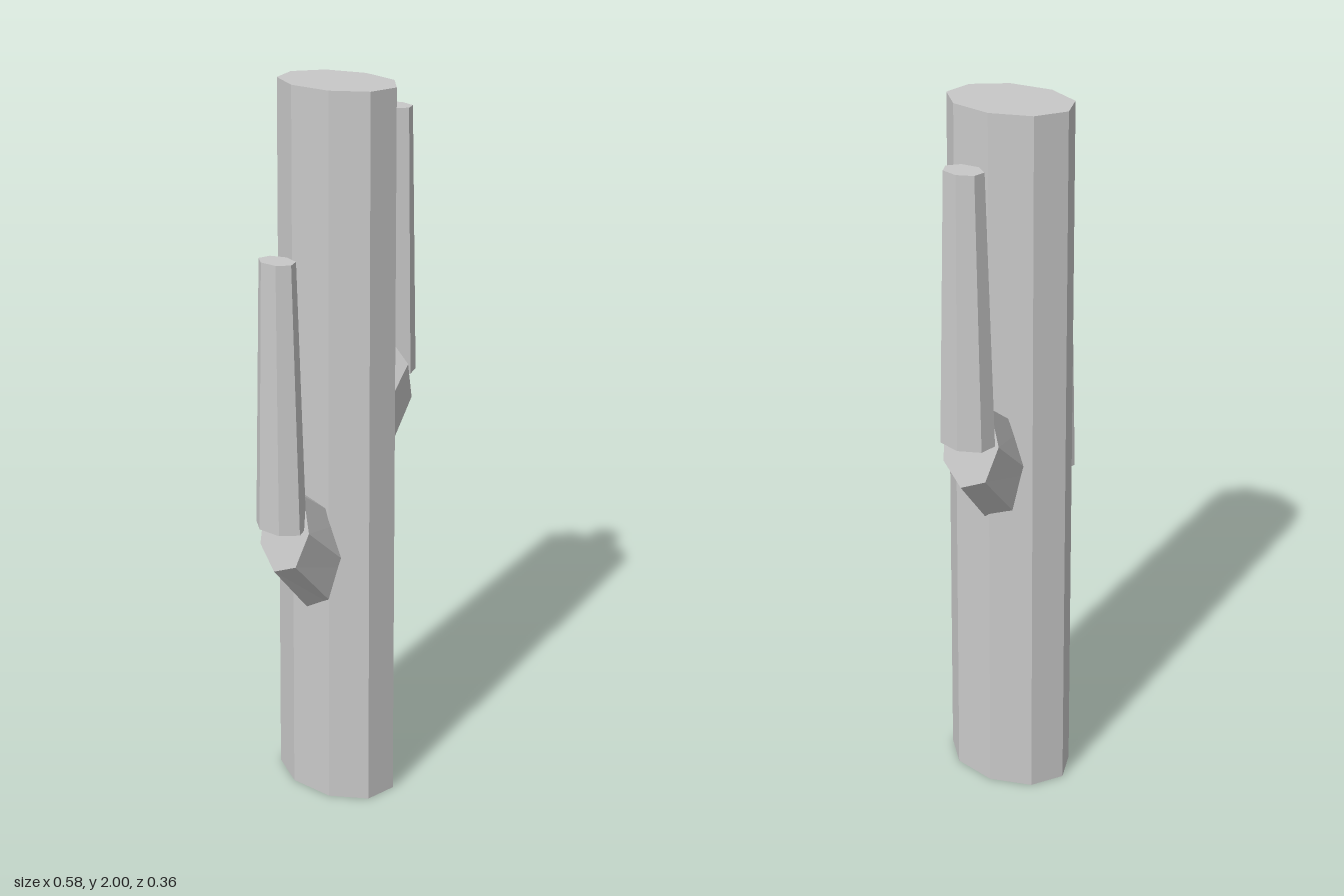
import * as THREE from 'three';

const grey = new THREE.MeshStandardMaterial({ color: 0xc8c8c8 });
grey.name = 'stone grey';
grey.flatShading = true;

// Tapered upright column, oval in plan, with one corner pointing to +x
function column(name, sides, rTop, rBottom, zScale, x, y0, y1) {
  const geo = new THREE.CylinderGeometry(rTop, rBottom, y1 - y0, sides, 1, false, Math.PI / 2);
  geo.scale(1, 1, zScale);
  geo.translate(x, (y0 + y1) / 2, 0);
  const mesh = new THREE.Mesh(geo, grey);
  mesh.name = name;
  return mesh;
}

// Slanted seven-sided branch between two tilted oval sections
function branchGeometry() {
  const n = 7;
  const sections = [
    { x: 0.05, y: 1.002, dx: 0.036, dy: -0.153, rz: 0.093 },
    { x: 0.223, y: 1.168, dx: 0.03, dy: -0.12, rz: 0.081 },
  ];
  const pos = [];
  const index = [];
  for (const s of sections) {
    for (let i = 0; i < n; i++) {
      const a = THREE.MathUtils.degToRad(9) + (i * 2 * Math.PI) / n;
      pos.push(s.x + s.dx * Math.cos(a), s.y + s.dy * Math.cos(a), s.rz * Math.sin(a));
    }
  }
  for (let i = 0; i < n; i++) {
    const j = (i + 1) % n;
    index.push(i, n + j, j, i, n + i, n + j);
  }
  // End caps
  for (let i = 1; i < n - 1; i++) {
    index.push(0, i, i + 1, n, n + i + 1, n + i);
  }
  const geo = new THREE.BufferGeometry();
  geo.setAttribute('position', new THREE.Float32BufferAttribute(pos, 3));
  geo.setIndex(index);
  const flat = geo.toNonIndexed();
  flat.computeVertexNormals();
  return flat;
}

export function createModel() {
  const model = new THREE.Group();
  model.name = 'cactus';

  model.add(column('trunk', 9, 0.117, 0.13, 1.425, -0.002, 0, 2));

  // Two arms: each a slanted branch carrying an upright
  const arms = [
    { side: 'left', x: 0.238, y: 1.18, turn: 0, shiftX: 0, shiftY: 0 },
    { side: 'right', x: -0.244, y: 0.88, turn: Math.PI, shiftX: -0.007, shiftY: -0.3 },
  ];
  for (const a of arms) {
    const arm = new THREE.Group();
    arm.name = a.side + 'Arm';
    const branch = new THREE.Mesh(branchGeometry(), grey);
    branch.name = a.side + 'Branch';
    branch.rotation.y = a.turn;
    branch.position.set(a.shiftX, a.shiftY, 0);
    arm.add(branch);
    arm.add(column(a.side + 'Upright', 7, 0.037, 0.0526, 1.43, a.x, a.y, a.y + 0.72));
    model.add(arm);
  }
  return model;
}
